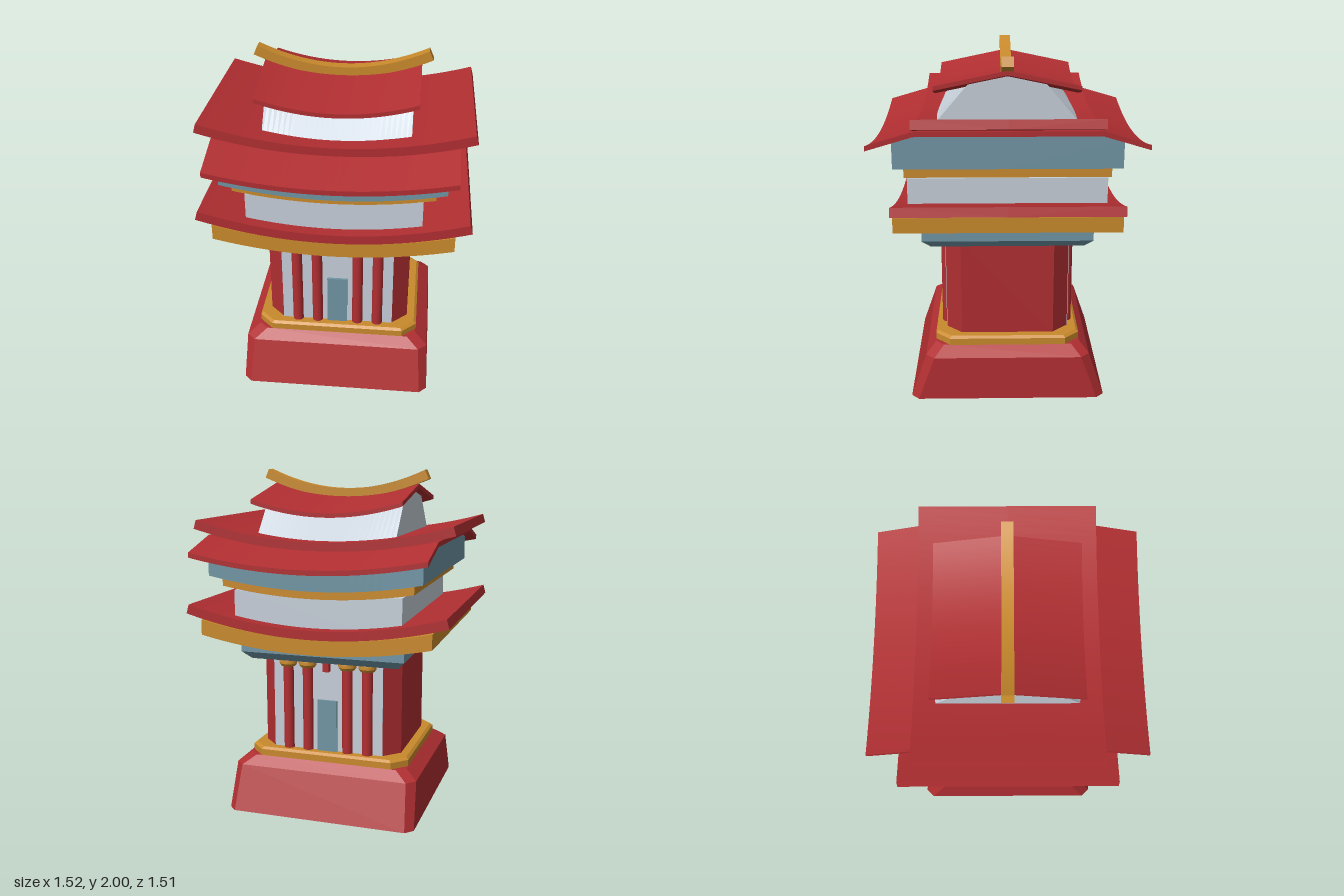
import * as THREE from 'three';
import { toCreasedNormals } from 'three/addons/utils/BufferGeometryUtils.js';

const mat = (name, color, side = THREE.FrontSide) => {
  const m = new THREE.MeshStandardMaterial({ color, side });
  m.name = name;
  return m;
};

// Stacked rings of rectangles with cut corners; ring = [y, halfX, halfZ, cut]
function stack(rings, openBottom = false) {
  const pos = [];
  const tri = (a, b, c) => pos.push(...a, ...b, ...c);
  const loops = rings.map(([y, x, z, c]) => {
    const pts = c
      ? [[x, z - c], [x - c, z], [c - x, z], [-x, z - c], [-x, c - z], [c - x, -z], [x - c, -z], [x, c - z]]
      : [[x, z], [-x, z], [-x, -z], [x, -z]];
    return pts.map(([px, pz]) => [px, y, pz]);
  });
  const n = loops[0].length;
  for (let r = 0; r < loops.length - 1; r++) {
    const lo = loops[r], hi = loops[r + 1];
    for (let i = 0; i < n; i++) {
      const j = (i + 1) % n;
      tri(lo[i], hi[i], hi[j]);
      tri(lo[i], hi[j], lo[j]);
    }
  }
  const top = loops[loops.length - 1], bottom = loops[0];
  for (let i = 1; i < n - 1; i++) {
    tri(top[0], top[i + 1], top[i]);
    if (!openBottom) tri(bottom[0], bottom[i], bottom[i + 1]);
  }
  const g = new THREE.BufferGeometry();
  g.setAttribute('position', new THREE.Float32BufferAttribute(pos, 3));
  g.computeVertexNormals();
  return g;
}

// Sweeps a mirrored (z, y) outline along x and lifts the ends by lift(x, y);
// lean tilts the ends so they stay square to the curve
function sweep(half, halfX, lift, leanFrom = null) {
  const shape = new THREE.Shape();
  half.forEach(([z, y], i) => (i ? shape.lineTo(z, y) : shape.moveTo(z, y)));
  [...half].reverse().forEach(([z, y]) => { if (z > 0) shape.lineTo(-z, y); });
  shape.closePath();
  const g = new THREE.ExtrudeGeometry(shape, { depth: 2 * halfX, steps: 28, bevelEnabled: false });
  g.rotateY(Math.PI / 2).translate(-halfX, 0, 0);
  const p = g.attributes.position;
  for (let i = 0; i < p.count; i++) {
    const x = p.getX(i), y = p.getY(i), dy = lift(x, y);
    if (leanFrom !== null) p.setX(i, x - 2 * (dy / (x || 1)) * (y - leanFrom));
    p.setY(i, y + dy);
  }
  return toCreasedNormals(g, 0.12);
}
const bend = (k) => (x) => k * x * x;
// Half outline of a rectangle, from bottom centre round to top centre
const rect = (z, y0, y1) => [[0, y0], [z, y0], [z, y1], [0, y1]];

export function createModel() {
  const group = new THREE.Group();
  const red = mat('red', 0xb02e31, THREE.DoubleSide);
  const gold = mat('gold', 0xc98a2c);
  const white = mat('white', 0xc6cfd9);
  const blue = mat('blue', 0x7095a4);
  const add = (name, geometry, material, x = 0, y = 0, z = 0) => {
    const m = new THREE.Mesh(geometry, material);
    m.name = name;
    m.position.set(x, y, z);
    group.add(m);
    return m;
  };

  // Hollow base, ledge and main hall
  add('base', stack([[0, 0.567, 0.57, 0.045], [0.26, 0.555, 0.48, 0.05], [0.312, 0.482, 0.425, 0.05]], true), red);
  add('ledge', stack([[0.31, 0.485, 0.425, 0.085], [0.35, 0.485, 0.425, 0.085], [0.363, 0.47, 0.41, 0.08]]), gold);
  add('hall', stack([[0.355, 0.425, 0.36, 0.09], [0.93, 0.425, 0.36, 0.09]]), red);

  // Front and back details are the same
  const capProfile = [[0, 0.868], [0.042, 0.868], [0.054, 0.885], [0.054, 0.905], [0.048, 0.92], [0, 0.92]]
    .map(([r, y]) => new THREE.Vector2(r, y));
  const capGeo = toCreasedNormals(new THREE.LatheGeometry(capProfile, 20), 0.4);
  const columnGeo = new THREE.CylinderGeometry(0.032, 0.032, 0.53, 20);
  for (const s of [1, -1]) {
    add('wallPanel', new THREE.BoxGeometry(0.67, 0.565, 0.006), white, 0, 0.6425, s * 0.36);
    add('door', new THREE.BoxGeometry(0.12, 0.315, 0.02), blue, 0, 0.517, s * 0.367);
    add('pendant', new THREE.BoxGeometry(0.038, 0.075, 0.04), red, 0, 0.89, s * 0.38);
    for (const x of [-0.243, -0.122, 0.122, 0.243]) {
      add('column', columnGeo, red, x, 0.62, s * 0.36);
      add('columnCap', capGeo, gold, x, 0, s * 0.362);
    }
  }

  // Lower roof
  add('lowerCornice', stack([[0.915, 0.44, 0.44, 0], [0.962, 0.487, 0.487, 0], [1.06, 0.487, 0.487, 0]]), blue);
  add('lowerEave', sweep(rect(0.625, 1.003, 1.09), 0.67, bend(0.167)), gold);
  add('lowerRoof', sweep(rect(0.628, 1.09, 1.142), 0.76, bend(0.186), 1.09), red);

  // Upper storey
  add('upperWall', stack([[1.1, 0.49, 0.557, 0], [1.335, 0.49, 0.557, 0]]), white);
  add('upperTrim', sweep(rect(0.567, 1.307, 1.37), 0.556, bend(0.165)), gold);
  add('upperCornice', sweep([[0, 1.358], [0.62, 1.358], [0.62, 1.512], [0.49, 1.545], [0, 1.545]], 0.615, bend(0.165)), blue);
  add('upperEave', sweep([[0, 1.54], [0.5, 1.54], [0.755, 1.465], [0.755, 1.493], [0.5, 1.567], [0, 1.567]],
    0.668, bend(0.157)), red);
  add('upperRoof', sweep(rect(0.505, 1.562, 1.612), 0.76, bend(0.186), 1.562), red);

  // Attic: straight at the foot, curved with the roof at the top
  add('attic', sweep([[0, 1.59], [0.432, 1.59], [0.215, 1.782], [0, 1.825]], 0.41,
    (x, y) => (y < 1.7 ? 0 : 0.353 * x * x)), white);
  add('topRoof', sweep([[0, 1.825], [0.405, 1.742], [0.405, 1.766], [0, 1.85]], 0.445, bend(0.353)), red);
  add('ridge', sweep(rect(0.033, 1.838, 1.89), 0.507, bend(0.43), 1.838), gold);
  return group;
}
